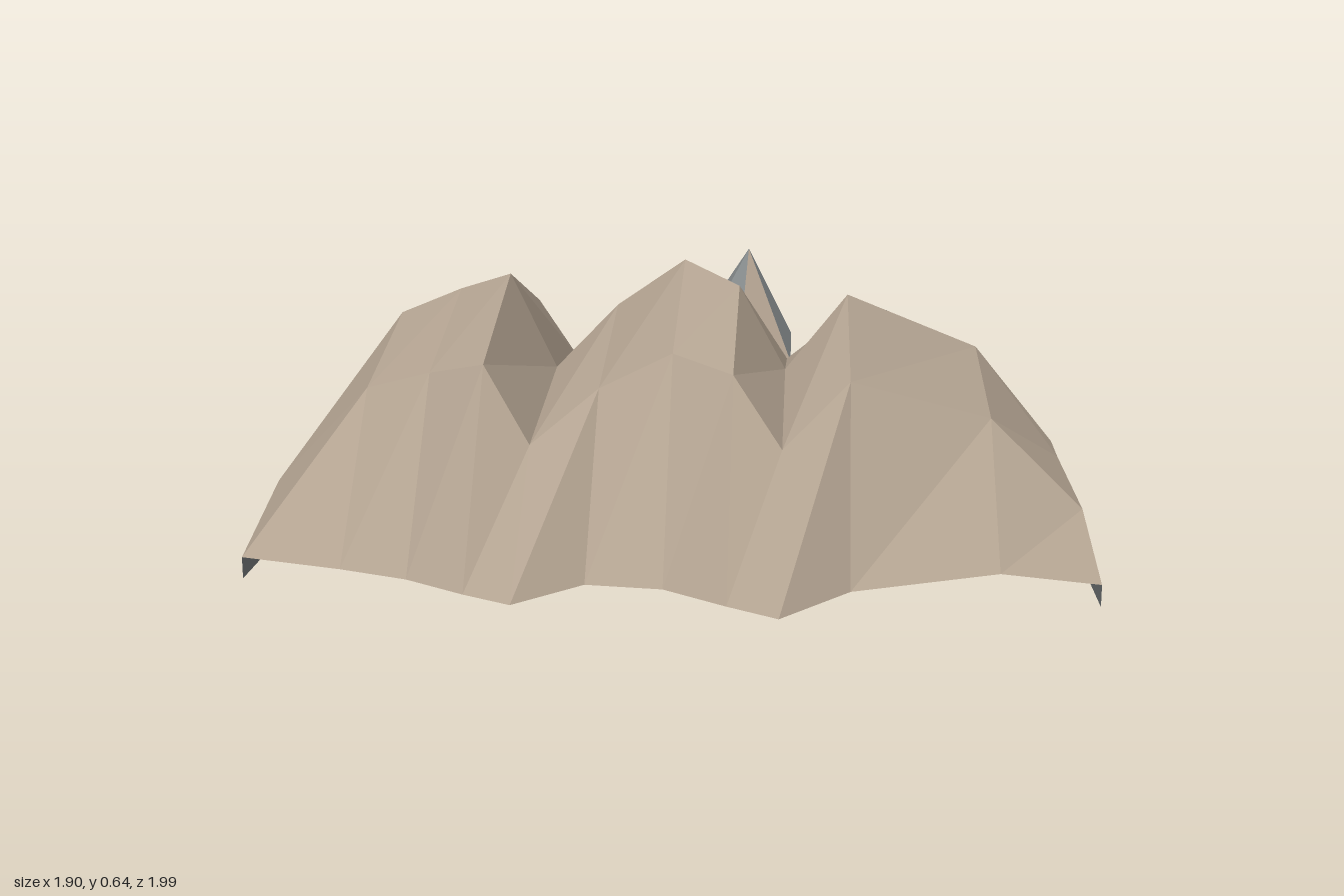
import * as THREE from 'three';

const paint = (name, color) => {
  const m = new THREE.MeshStandardMaterial({ color, flatShading: true, side: THREE.DoubleSide });
  m.name = name;
  return m;
};

// Flat-shaded mesh from a list of triangles, each a list of three points
function facets(name, triangles, material) {
  const geo = new THREE.BufferGeometry();
  geo.setAttribute('position', new THREE.Float32BufferAttribute(triangles.flat(2), 3));
  geo.computeVertexNormals();
  const mesh = new THREE.Mesh(geo, material);
  mesh.name = name;
  return mesh;
}

const quad = (a, b, c, d) => [[a, b, c], [a, c, d]];

// Cliff columns: x, front edge z, crest z, rim z, crest height
const columns = [
  [-0.95, 0.66, -0.1, -0.18, 0.15],
  [-0.71, 0.73, 0, -0.34, 0.49],
  [-0.55, 0.79, 0.04, -0.43, 0.56],
  [-0.41, 0.88, 0.14, -0.35, 0.615],
  [-0.3, 0.94, 0.14, -0.32, 0.385],
  [-0.16, 0.8, 0.02, -0.36, 0.52],
  [0.01, 0.82, 0.05, -0.48, 0.64],
  [0.15, 0.92, 0.22, -0.36, 0.605],
  [0.26, 0.99, 0.2, -0.31, 0.4],
  [0.41, 0.81, 0.04, -0.39, 0.555],
  [0.74, 0.67, -0.1, -0.26, 0.4],
  [0.95, 0.73, -0.04, -0.17, 0.13],
];

// Cross-section rule: front edge, brow, crest, rim, bulge, foot, rear skirt
const section = ([x, front, crest, rim, h]) => [
  [x, 0.05, front],
  [x, 0.03 + 0.73 * h, front - 0.32],
  [x, h, crest],
  [x, 0.05 + 0.67 * h, rim],
  [x, 0.05 + 0.42 * h, rim - 0.09],
  [x, 0.08, rim - 0.06],
  [x, 0.05, rim - 0.25],
];

// Columns whose rear slope is bare grey stone
const greyColumns = [0, 1, 5, 6, 9];

// Spikes: x, z, radius in x, radius in z, apex height
const spikes = [
  [-0.67, -0.73, 0.155, 0.18, 0.41],
  [-0.2, -0.8, 0.14, 0.2, 0.36],
  [0.12, -0.78, 0.17, 0.17, 0.53],
  [0.52, -0.63, 0.125, 0.155, 0.38],
];

// Low stones: x, z, radius
const stones = [
  [-0.56, -0.82, 0.11], [-0.42, -0.69, 0.06], [-0.33, -0.84, 0.08],
  [-0.76, -0.57, 0.12], [-0.26, -0.5, 0.09], [-0.05, -0.73, 0.06],
  [0.07, -0.86, 0.09], [0.34, -0.78, 0.1], [0.28, -0.52, 0.13],
  [0.58, -0.74, 0.1], [0.7, -0.57, 0.07], [0.55, -0.45, 0.09],
];

export function createModel() {
  const model = new THREE.Group();
  model.name = 'rockyOutcrop';
  const tan = paint('tanStone', 0xb3a391);
  const grey = paint('greyStone', 0x868b8d);

  // Cliff shell with three humps, split by stone colour
  const sections = columns.map(section);
  const tanFaces = [], greyFaces = [];
  for (let i = 0; i < sections.length - 1; i++) {
    const a = sections[i], b = sections[i + 1];
    for (let r = 0; r < 6; r++) {
      const bare = r >= 2 && r <= 4 && greyColumns.includes(i);
      (bare ? greyFaces : tanFaces).push(...quad(a[r], b[r], b[r + 1], a[r + 1]));
    }
  }
  model.add(facets('cliffFace', tanFaces, tan), facets('bareRearSlope', greyFaces, grey));

  // Thin vertical lips down both sides
  const drop = ([x, , z]) => [x, 0, z];
  for (const [name, edge] of [['rightLip', sections[0].toReversed()], ['leftLip', sections.at(-1)]]) {
    const faces = [];
    for (let r = 0; r < 6; r++) {
      faces.push(...quad(drop(edge[r]), drop(edge[r + 1]), edge[r + 1], edge[r]));
    }
    model.add(facets(name, faces, grey));
  }

  // Leaning pointed boulders behind the cliff
  for (const [x, z, rx, rz, top] of spikes) {
    const apex = [x + 0.02, top, z - 0.08];
    const tip = [x - 0.01, 0.08, z + 0.11];
    const ring = Array.from({ length: 6 }, (_, j) => {
      const a = Math.PI / 2 + j * Math.PI / 3;
      return [x + rx * Math.cos(a), 0.1 + 0.26 * top + (j % 2 ? 0.04 : -0.01), z - rz * Math.sin(a)];
    });
    const light = [], dark = [];
    ring.forEach((p, j) => {
      const q = ring[(j + 1) % 6];
      (j % 3 === 0 ? light : dark).push([p, q, apex]);
      (j % 2 ? light : dark).push([q, p, tip]);
    });
    const spike = new THREE.Group();
    spike.name = 'spikeBoulder';
    spike.add(facets('spikeTanFacets', light, tan), facets('spikeGreyFacets', dark, grey));
    model.add(spike);
  }

  // Scattered low stones
  stones.forEach(([x, z, r], i) => {
    const h = r * 0.65;
    const stone = new THREE.Mesh(new THREE.CylinderGeometry(r * 0.25, r * 1.1, h, 5), tan);
    stone.name = 'lowStone';
    stone.position.set(x, 0.045 + h / 2, z);
    stone.rotation.y = i * 1.3;
    stone.scale.z = 0.85;
    model.add(stone);
  });
  return model;
}
